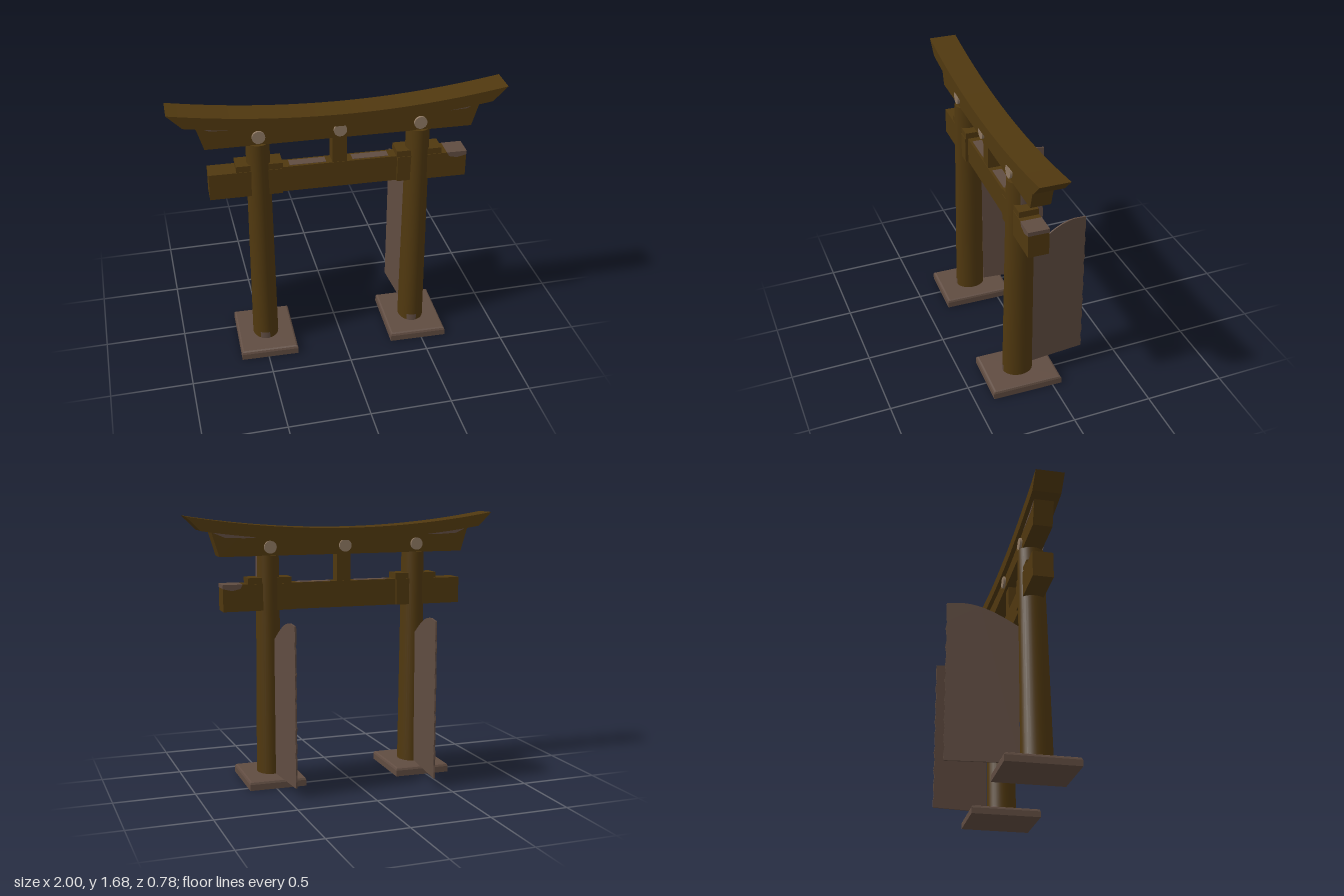
import * as THREE from 'three';

const wood = new THREE.MeshStandardMaterial({ color: 0x50380f });
wood.name = 'dark wood';
const stone = new THREE.MeshStandardMaterial({ color: 0x604c41 });
stone.name = 'weathered stone';
const pale = new THREE.MeshStandardMaterial({ color: 0x8e7862 });
pale.name = 'pale end grain';

function add(parent, name, geometry, material, x = 0, y = 0, z = 0) {
  const mesh = new THREE.Mesh(geometry, material);
  mesh.name = name;
  mesh.position.set(x, y, z);
  parent.add(mesh);
  return mesh;
}

// Box given by its x and y limits and its depth
function block(parent, name, x0, x1, y0, y1, depth, material = wood, z = 0) {
  return add(parent, name, new THREE.BoxGeometry(x1 - x0, y1 - y0, depth), material,
    (x0 + x1) / 2, (y0 + y1) / 2, z);
}

// Outline extruded evenly to both sides of z = 0
function slab(points, depth) {
  const shape = new THREE.Shape(points.map(([x, y]) => new THREE.Vector2(x, y)));
  return new THREE.ExtrudeGeometry(shape, { depth, bevelEnabled: false }).translate(0, 0, -depth / 2);
}

// Points along a shallow parabola from xa to xb
function sag(xa, xb, low, rise, n = 28) {
  return Array.from({ length: n + 1 }, (_, i) => {
    const x = xa + (xb - xa) * i / n;
    return [x, low + rise * x * x];
  });
}

// Square stone foot with a chamfered top edge
function footGeometry() {
  const r = Math.SQRT1_2 * 2;
  const profile = [[0, 0], [r, 0], [r, 0.038], [r * 0.975, 0.05], [r * 0.93, 0.055], [0, 0.055]];
  const g = new THREE.LatheGeometry(profile.map(([a, b]) => new THREE.Vector2(a, b)), 4)
    .rotateY(Math.PI / 4).scale(0.18, 1, 0.222).toNonIndexed();
  g.computeVertexNormals();
  return g;
}

// Slightly oval, tapering column that leans back as it rises
function columnGeometry(y0, y1, grow = 0, start = 0, sweep = Math.PI * 2) {
  const radius = (y) => 0.081 - 0.011 * y / 1.44 + grow;
  const g = new THREE.CylinderGeometry(radius(y1), radius(y0), y1 - y0, 32, 1, grow > 0, start, sweep)
    .scale(1, 1, 1.18).translate(0, (y0 + y1) / 2, 0);
  const p = g.attributes.position;
  for (let i = 0; i < p.count; i++) p.setZ(i, p.getZ(i) + 0.018 * (1 - p.getY(i) / 1.44));
  return g;
}

// Thin upright leaf with an arched top and a rough outer edge
function leafGeometry(length) {
  const pts = [[0, 0.06], [length, 0.06]];
  for (let i = 1; i < 24; i++) pts.push([length + 0.004 * Math.sin(i * 2.3), 0.06 + i * 0.99 / 24]);
  pts.push([length, 1.05]);
  for (let i = 0; i <= 12; i++) {
    const t = 1 - i / 12;
    pts.push([length * 0.8 * t, 0.92 + 0.137 * Math.sin(t * Math.PI / 2)]);
  }
  return slab(pts, 0.01);
}

export function createModel() {
  const model = new THREE.Group();
  model.name = 'gate';
  const frame = new THREE.Group();
  frame.name = 'frame';
  frame.position.z = 0.134;
  frame.rotation.y = -0.029;
  model.add(frame);

  // Curved top beam with slanted ends
  add(frame, 'topBeam', slab([...sag(-0.91, 0.91, 1.525, 0.087), ...sag(0.998, -0.998, 1.60, 0.085)], 0.175), wood);
  // Second beam fitted beneath the curve
  add(frame, 'underBeam', slab([[-0.795, 1.437], [0.795, 1.437], ...sag(0.842, -0.842, 1.53, 0.087)], 0.12), wood);

  // Tie beam: slim in the middle, thicker outside the collars
  block(frame, 'tieBeamMiddle', -0.36, 0.36, 1.10, 1.265, 0.09);
  block(frame, 'tieBeamRight', -0.783, -0.35, 1.10, 1.265, 0.125);
  block(frame, 'tieBeamLeft', 0.35, 0.778, 1.10, 1.265, 0.125);
  block(frame, 'centreStrut', -0.045, 0.043, 1.265, 1.437, 0.085);

  for (const side of [-1, 1]) {
    const x = side * 0.483;
    add(frame, 'foot', footGeometry(), stone, x, 0, 0.01);
    add(frame, 'pillar', columnGeometry(0.05, 1.44), wood, x);
    block(frame, 'wedge', x - 0.138, x + 0.138, 1.262, 1.303, 0.118);
    // Worn patches at the foot of the pillar
    add(frame, 'footPatch', columnGeometry(0.055, 0.1, 0.002, -0.55, 0.75), stone, x);
    add(frame, 'footPatchBack', columnGeometry(0.055, 0.095, 0.002, 3.6, 0.6), stone, x);
    // Worn strip under the end of the curved beam, front and back
    const strip = [...sag(0.55, 0.835, 1.524, 0.087, 6), [0.76, 1.553], [0.64, 1.547]]
      .map(([a, b]) => [a * side, b]);
    add(frame, 'beamPatch', slab(strip, 0.123), stone);
    // Worn strip on the slim beam's upper face
    const inner = side * 0.19;
    block(frame, 'tiePatch', inner - 0.11, inner + 0.11, 1.264, 1.267, 0.06, stone);
  }
  add(frame, 'neckPatch', columnGeometry(1.305, 1.435, 0.002, 1.3, 0.5), stone, 0.483);
  add(frame, 'endPatch', slab([[0.655, 1.2665], [0.67, 1.24], [0.72, 1.228], [0.7795, 1.242], [0.7795, 1.2665]], 0.128), stone);

  // Round studs on both faces of the second beam
  for (const x of [-0.483, -0.003, 0.48]) {
    for (const face of [-1, 1]) {
      add(frame, 'stud', new THREE.CylinderGeometry(0.039, 0.039, 0.018, 24).rotateX(Math.PI / 2),
        pale, x, 1.49, face * 0.066);
    }
  }

  // Two leaves standing behind the pillars
  for (const [name, x0, z0, x1, z1] of [
    ['rightLeaf', -0.475, 0.04, -0.425, -0.386],
    ['leftLeaf', 0.465, 0.06, 0.44, -0.29],
  ]) {
    const leaf = add(model, name, leafGeometry(Math.hypot(x1 - x0, z1 - z0)), stone, x0, 0, z0);
    leaf.rotation.y = Math.atan2(z0 - z1, x1 - x0);
  }
  return model;
}
